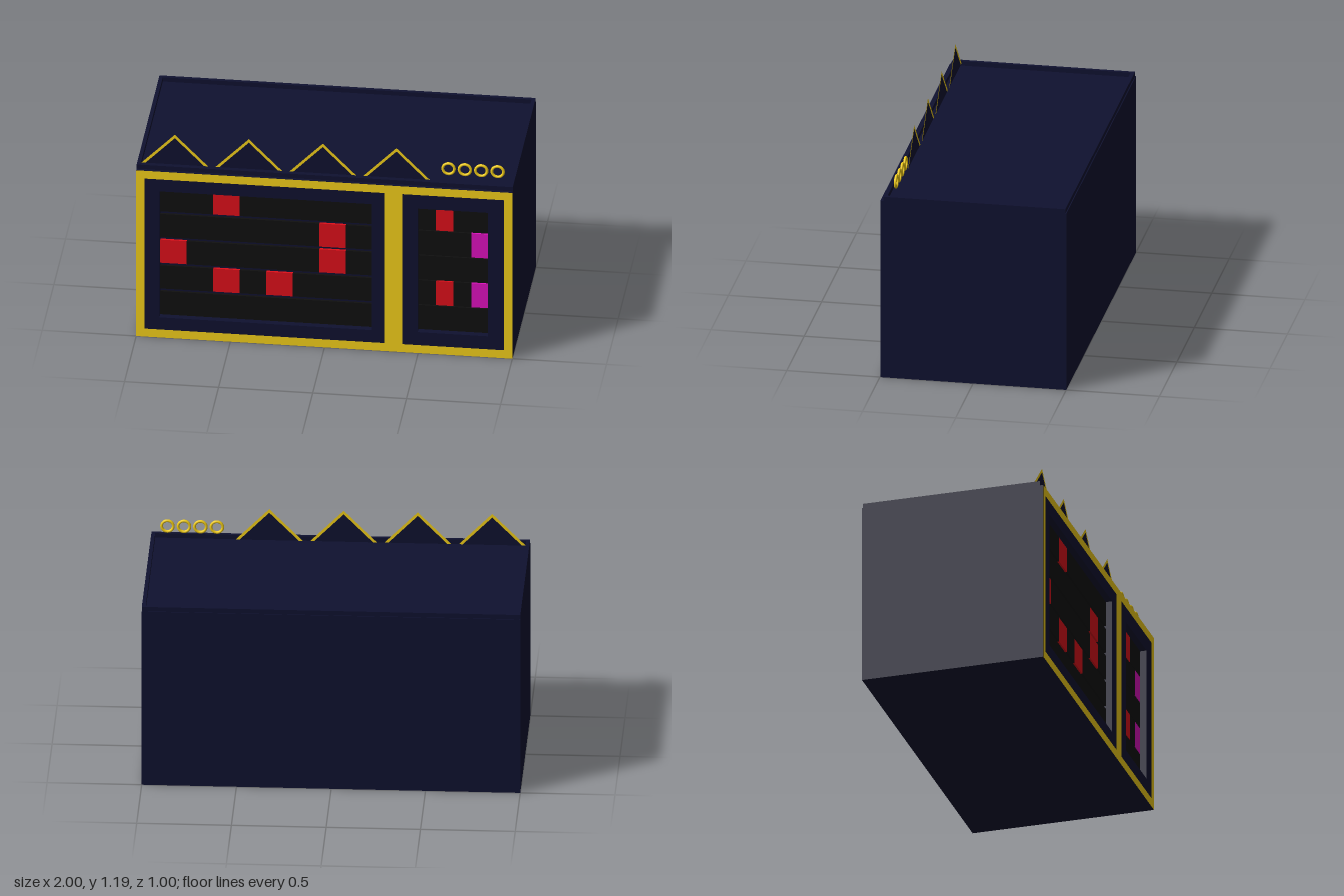
import * as THREE from 'three';

const mat = (color, side = THREE.FrontSide) => new THREE.MeshStandardMaterial({ color, side });
const navy = mat(0x0f1130);
const gold = mat(0xf5d01a);
const black = mat(0x101010);
const red = mat(0xe00f1a);
const magenta = mat(0xe011c0);
const navySheet = mat(0x0f1130, THREE.DoubleSide);
const goldSheet = mat(0xf5d01a, THREE.DoubleSide);

// Rectangles are [x0, y0, x1, y1]
const corners = ([x0, y0, x1, y1]) =>
  [[x0, y0], [x1, y0], [x1, y1], [x0, y1]].map(([x, y]) => new THREE.Vector2(x, y));

function rectWithHoles(outer, holes) {
  const shape = new THREE.Shape(corners(outer));
  for (const h of holes) shape.holes.push(new THREE.Path(corners(h).reverse()));
  return shape;
}

function polygon(points) {
  return new THREE.Shape(points.map(([x, y]) => new THREE.Vector2(x, y)));
}

function add(parent, name, geometry, material, x = 0, y = 0, z = 0) {
  const mesh = new THREE.Mesh(geometry, material);
  mesh.name = name;
  mesh.position.set(x, y, z);
  parent.add(mesh);
  return mesh;
}

// Recessed window filled with a grid of tiles; lit maps "column,row" (row 0 on top) to a material
function tileWindow(parent, name, [x0, y0, x1, y1], columns, rows, gap, lit) {
  const group = new THREE.Group();
  group.name = name;
  const w = (x1 - x0) / columns;
  const pitch = (y1 - y0 + gap) / rows;
  for (let c = 0; c < columns; c++) {
    for (let r = 0; r < rows; r++) {
      add(group, 'tile', new THREE.BoxGeometry(w, pitch - gap, 0.014), lit[`${c},${r}`] ?? black,
        x0 + w * (c + 0.5), y1 - pitch * r - (pitch - gap) / 2, 0.456);
    }
  }
  parent.add(group);
}

export function createModel() {
  const model = new THREE.Group();
  model.name = 'building';

  const outer = [-1, 0, 1, 1];
  const windows = [[-0.877, 0.12, 0.25, 0.88], [0.497, 0.125, 0.87, 0.87]];

  // Main block and the front wall with its two window openings
  add(model, 'body', new THREE.BoxGeometry(2, 1, 0.95), navy, 0, 0.5, -0.025);
  add(model, 'frontWall', new THREE.ExtrudeGeometry(rectWithHoles(outer, windows),
    { depth: 0.048, bevelEnabled: false }), navy, 0, 0, 0.45);

  // Gold border painted round both front panels
  const panels = [[-0.957, 0.048, 0.321, 0.953], [0.415, 0.048, 0.955, 0.953]];
  add(model, 'goldFrame', new THREE.ShapeGeometry(rectWithHoles(outer, panels)), gold, 0, 0, 0.5);

  // Window tiles
  tileWindow(model, 'largeWindow', windows[0], 8, 5, 0.016,
    { '2,0': red, '6,1': red, '0,2': red, '6,2': red, '2,3': red, '4,3': red });
  tileWindow(model, 'smallWindow', windows[1], 4, 5, 0.005,
    { '1,0': red, '3,1': magenta, '1,3': red, '3,3': magenta });

  // Low parapet round the roof
  const parapet = new THREE.ExtrudeGeometry(
    rectWithHoles([-1, -0.482, 1, 0.495], [[-0.98, -0.462, 0.98, 0.475]]),
    { depth: 0.025, bevelEnabled: false });
  parapet.rotateX(-Math.PI / 2);
  add(model, 'parapet', parapet, navy, 0, 1, 0);

  // Flat gables with gold edging
  const half = 0.177, base = 1.012, top = 1.191, edge = 0.021;
  const gable = polygon([[-half + edge, base], [half - edge, base], [0, top - edge]]);
  const edging = polygon([[-half, base], [-half + edge, base], [0, top - edge],
    [half - edge, base], [half, base], [0, top]]);
  for (let i = 0; i < 4; i++) {
    const x = -0.803 + i * 0.393;
    add(model, 'gable', new THREE.ShapeGeometry(gable), navySheet, x, 0, 0.433);
    add(model, 'gableEdging', new THREE.ShapeGeometry(edging), goldSheet, x, 0, 0.433);
  }

  // Row of small rings above the parapet
  for (let i = 0; i < 4; i++) {
    add(model, 'ring', new THREE.TorusGeometry(0.031, 0.0075, 12, 32), gold,
      0.652 + i * 0.087, 1.083, 0.428);
  }

  return model;
}
